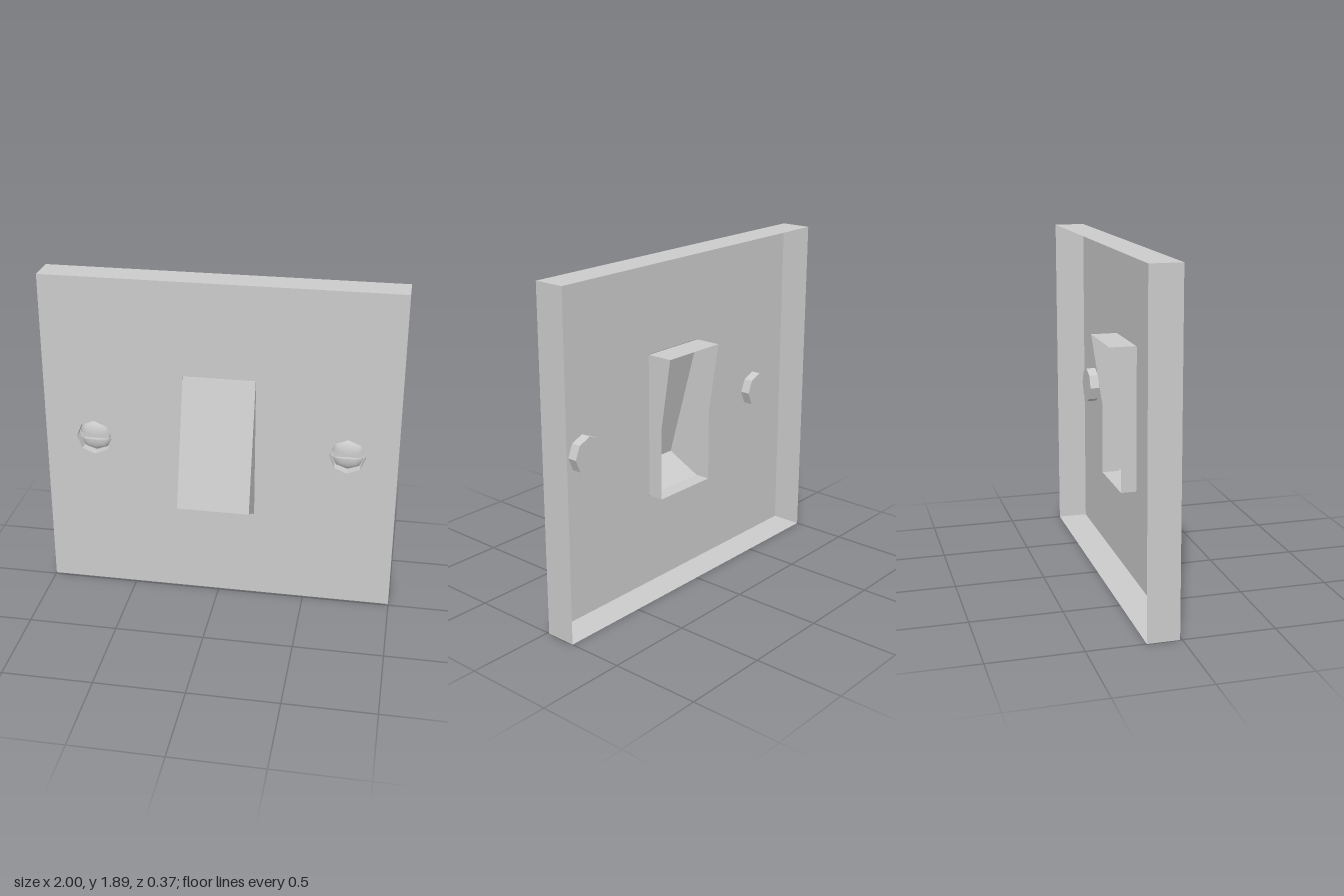
import * as THREE from 'three';

const material = new THREE.MeshStandardMaterial({ color: 0xcccccc, flatShading: true, side: THREE.DoubleSide });
const smooth = new THREE.MeshStandardMaterial({ color: 0xcccccc, side: THREE.DoubleSide });

const W = 1, H = 1.89, FRONT = -0.012, BACK = -0.186;
const SCREW_X = 0.72, SCREW_Y = 0.935, CUP_R = 0.103, CUP_DEPTH = 0.055;

function add(parent, name, geometry, mat = material) {
  const mesh = new THREE.Mesh(geometry, mat);
  mesh.name = name;
  parent.add(mesh);
  return mesh;
}

// Flat polygons, each fanned from its first corner
function sheets(polygons) {
  const pos = [];
  for (const p of polygons)
    for (let i = 1; i < p.length - 1; i++) pos.push(...p[0], ...p[i], ...p[i + 1]);
  const g = new THREE.BufferGeometry();
  g.setAttribute('position', new THREE.Float32BufferAttribute(pos, 3));
  g.computeVertexNormals();
  return g;
}

function rectangle(x, y0, y1) {
  return [[-x, y0], [x, y0], [x, y1], [-x, y1]].map(([a, b]) => new THREE.Vector2(a, b));
}

function octagon(cx, cy, r) {
  return Array.from({ length: 8 }, (_, i) =>
    new THREE.Vector2(cx + r * Math.cos(i * Math.PI / 4), cy + r * Math.sin(i * Math.PI / 4)));
}

// Hollow cover plate, open at the back
function makePlate() {
  const plate = new THREE.Group();
  plate.name = 'coverPlate';
  const outline = rectangle(W, 0, H);
  const face = new THREE.Shape(outline);
  face.holes.push(new THREE.Path(rectangle(0.205, 0.528, 1.35)));
  for (const s of [-1, 1]) face.holes.push(new THREE.Path(octagon(s * SCREW_X, SCREW_Y, CUP_R)));
  add(plate, 'plateFace', new THREE.ShapeGeometry(face)).position.z = FRONT;
  add(plate, 'plateRim', sheets(outline.map((a, i) => {
    const b = outline[(i + 1) % 4];
    return [[a.x, a.y, FRONT], [a.x, a.y, BACK], [b.x, b.y, BACK], [b.x, b.y, FRONT]];
  })));
  return plate;
}

// Wedge-shaped rocker shell with a bent open back edge
function makeRocker() {
  const profile = [[0.94, -0.1], [0.53, -0.1], [0.53, FRONT], [0.63, 0.186], [1.347, FRONT], [1.347, -0.163]];
  const x = 0.203;
  const faces = [
    profile.map(([y, z]) => [x, y, z]).reverse(),
    profile.map(([y, z]) => [-x, y, z])
  ];
  // keep the bend as the fan centre on the mirrored side
  faces[0].unshift(faces[0].pop());
  for (let i = 1; i < 5; i++) {
    const [y0, z0] = profile[i], [y1, z1] = profile[i + 1];
    faces.push([[-x, y0, z0], [x, y0, z0], [x, y1, z1], [-x, y1, z1]]);
  }
  return sheets(faces);
}

// Slotted domed screw sitting in an octagonal cup
function makeScrew() {
  const screw = new THREE.Group();
  screw.name = 'screw';
  const cup = new THREE.CylinderGeometry(CUP_R, CUP_R, CUP_DEPTH, 8, 1, true).rotateX(Math.PI / 2);
  add(screw, 'screwCupWall', cup).position.z = -CUP_DEPTH / 2;
  add(screw, 'screwCupBack', new THREE.CircleGeometry(CUP_R, 8)).position.z = -CUP_DEPTH;

  const r = 0.092, base = -0.045, rise = 0.04, slot = 0.015;
  const dome = Array.from({ length: 6 }, (_, i) => {
    const a = i / 5 * Math.PI / 2;
    return new THREE.Vector2(r * Math.cos(a), base + rise * Math.sin(a));
  });
  const section = new THREE.Shape([...dome, ...dome.slice(0, -1).reverse().map(p => new THREE.Vector2(-p.x, p.y))]);
  for (const turn of [0, Math.PI]) {
    const half = new THREE.Group();
    half.name = 'screwHeadHalf';
    half.rotation.z = turn;
    const cap = new THREE.LatheGeometry(dome, 4, Math.PI / 2, Math.PI)
      .rotateX(Math.PI / 2).scale(1, (r - slot) / r, 1).translate(0, slot, 0);
    add(half, 'screwDome', cap, smooth);
    add(half, 'slotWall', new THREE.ShapeGeometry(section).rotateX(Math.PI / 2).translate(0, slot, 0));
    screw.add(half);
  }
  add(screw, 'slotFloor', new THREE.BoxGeometry(r * 1.8, slot * 2, 0.02)).position.z = -0.035;
  return screw;
}

export function createModel() {
  const model = new THREE.Group();
  model.name = 'wallSwitch';
  model.add(makePlate());
  add(model, 'rocker', makeRocker());
  for (const s of [-1, 1]) {
    const screw = makeScrew();
    screw.name = s > 0 ? 'leftScrew' : 'rightScrew';
    screw.position.set(s * SCREW_X, SCREW_Y, FRONT);
    model.add(screw);
  }
  return model;
}
